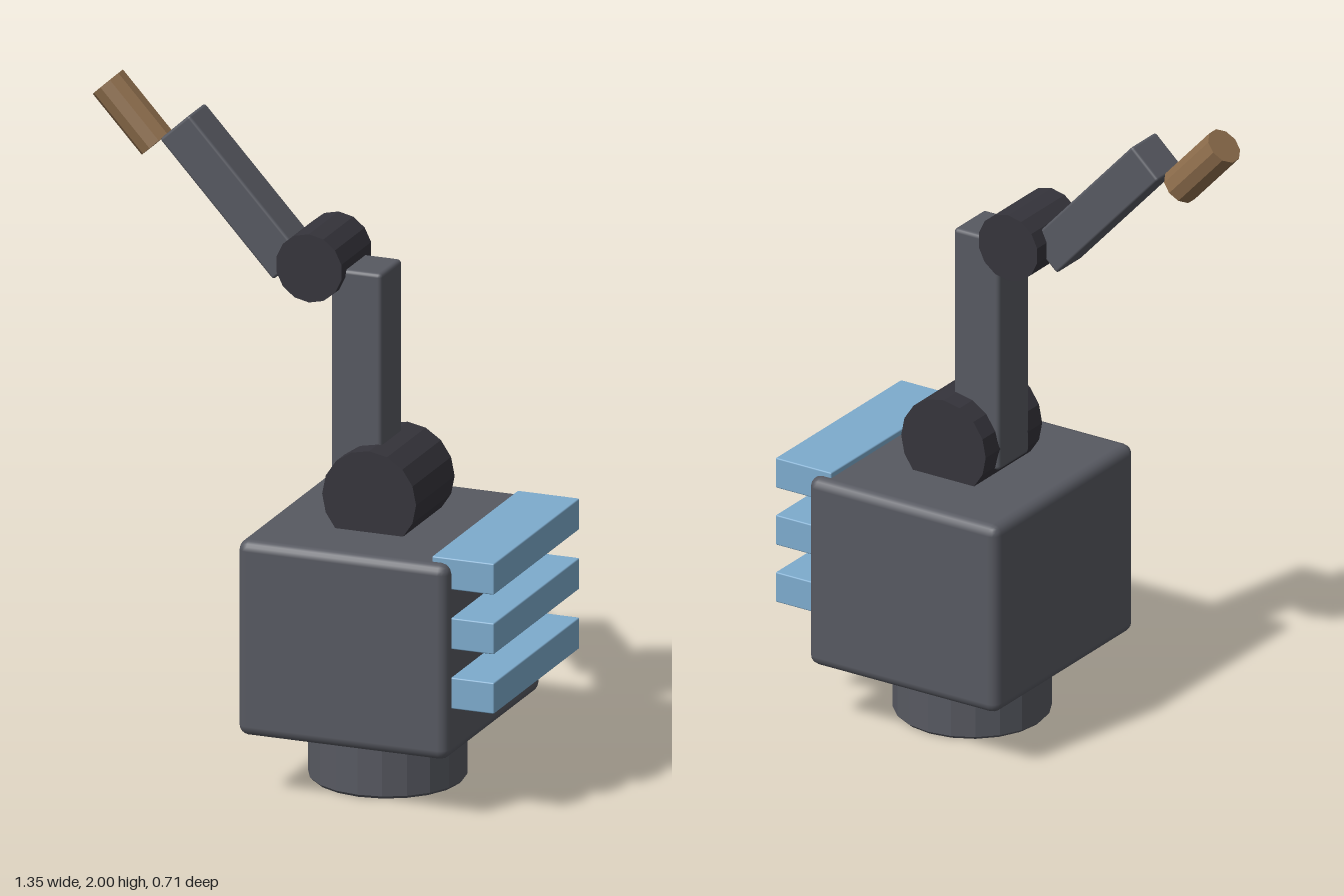
import * as THREE from 'three';
import { RoundedBoxGeometry } from 'three/addons/geometries/RoundedBoxGeometry.js';

const paint = (name, color) => {
  const m = new THREE.MeshStandardMaterial({ color });
  m.name = name;
  return m;
};

// Split shared corners so every face is flat
function facet(geometry) {
  const g = geometry.toNonIndexed();
  g.computeVertexNormals();
  return g;
}

export function createModel() {
  const model = new THREE.Group();
  model.name = 'robotArm';
  const grey = paint('slate grey', 0x575961);
  const dark = paint('charcoal', 0x35343b);
  const blue = paint('light blue', 0x7dabcd);
  const brown = paint('wood brown', 0x8c6c4b);

  function add(name, geometry, material, x, y, z = 0, tilt = 0) {
    const mesh = new THREE.Mesh(geometry, material);
    mesh.name = name;
    mesh.position.set(x, y, z);
    mesh.rotation.z = tilt;
    model.add(mesh);
    return mesh;
  }
  const box = (w, h, d, bevel) => new RoundedBoxGeometry(w, h, d, 2, bevel);
  const drum = (r, h, sides) => facet(new THREE.CylinderGeometry(r, r, h, sides));

  // Round foot with softened rims
  const footProfile = [[0, 0], [0.218, 0], [0.227, 0.009], [0.227, 0.178], [0.218, 0.187], [0, 0.187]]
    .map(([x, y]) => new THREE.Vector2(x, y));
  add('foot', facet(new THREE.LatheGeometry(footProfile, 20)), grey, 0.218, 0);

  // Main housing
  add('body', box(0.645, 0.583, 0.715, 0.03), grey, 0.222, 0.477);

  // Cooling fins on the left side
  for (let i = 0; i < 3; i++) {
    add('fin' + (i + 1), box(0.19, 0.093, 0.645, 0.004), blue, 0.58, 0.382 + i * 0.178);
  }

  // Shoulder, upper arm and elbow
  add('shoulder', drum(0.144, 0.29, 16).rotateX(Math.PI / 2), dark, 0.22, 0.867);
  add('upperArm', box(0.155, 0.72, 0.158, 0.012), grey, 0.153, 1.16);
  add('elbow', drum(0.102, 0.224, 14).rotateX(Math.PI / 2), dark, 0.022, 1.523);

  // Raised forearm and its grip
  const tilt = 0.744;
  add('forearm', box(0.122, 0.512, 0.126, 0.008), grey, -0.238, 1.687, 0, tilt);
  add('grip', drum(0.056, 0.222, 10), brown, -0.565, 1.883, 0, tilt);

  return model;
}
